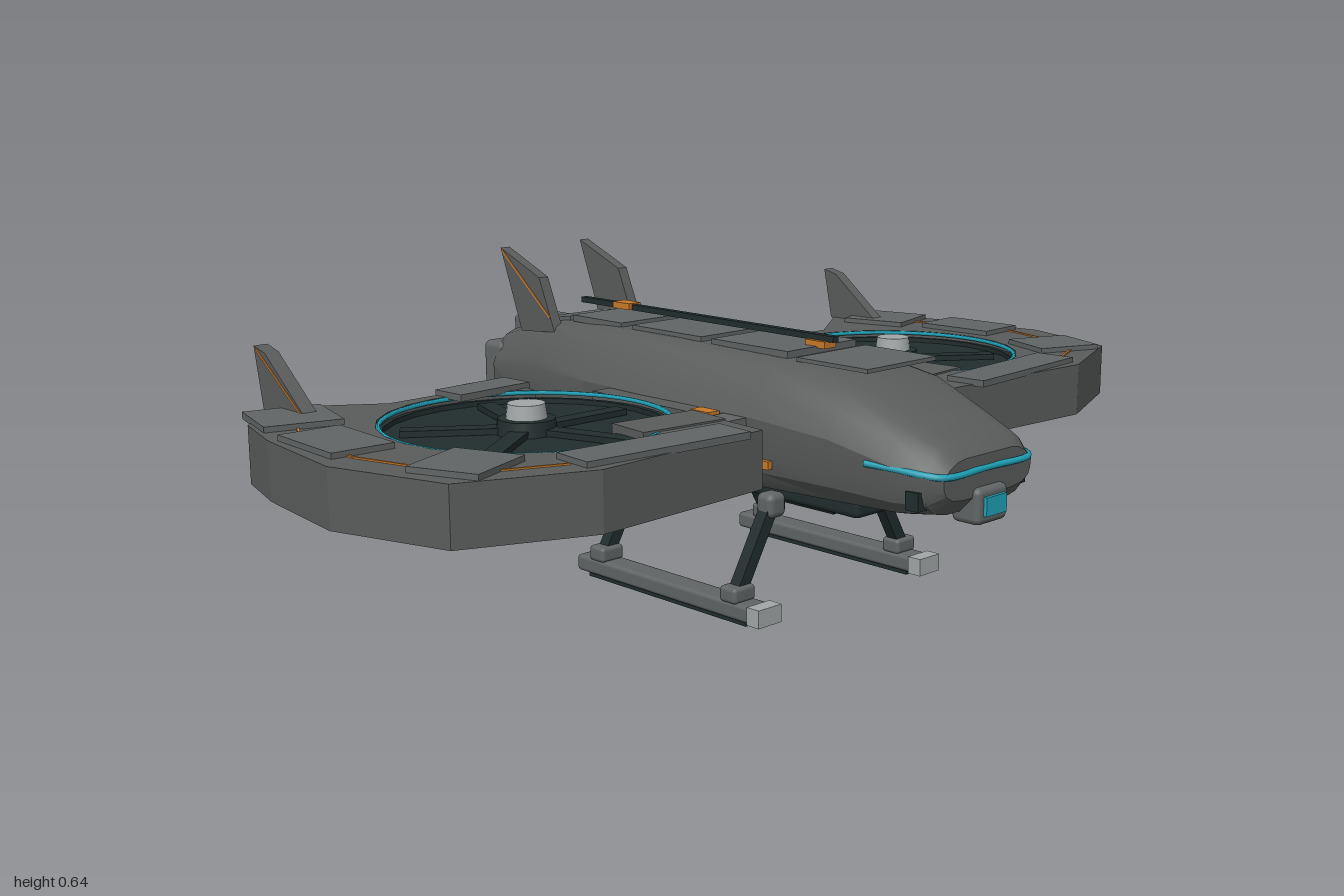
import * as THREE from 'three';
import { toCreasedNormals } from 'three/addons/utils/BufferGeometryUtils.js';
import { RoundedBoxGeometry } from 'three/addons/geometries/RoundedBoxGeometry.js';

const paint = (name, color) => Object.assign(new THREE.MeshStandardMaterial({ color }), { name });
const M = {
  hull: paint('hull grey', 0x5a5c5c),
  panel: paint('panel grey', 0x616565),
  dark: paint('dark slate', 0x212d2d),
  black: paint('vent black', 0x151a1b),
  light: paint('light metal', 0xa2a7a7),
  orange: paint('orange', 0xc87a2a),
  cyan: paint('cyan', 0x1fa3b8),
};

export function createModel() {
  const model = new THREE.Group();
  model.name = 'hoverDrone';

  const add = (name, geo, mat, parent = model) => {
    const mesh = new THREE.Mesh(geo, mat);
    mesh.name = name;
    parent.add(mesh);
    return mesh;
  };
  const box = (name, mat, [w, h, d], [x, y, z], ry = 0, parent = model) => {
    const m = add(name, new THREE.BoxGeometry(w, h, d), mat, parent);
    m.position.set(x, y, z);
    m.rotation.y = ry;
  };
  const rounded = (name, mat, [w, h, d], [x, y, z], r = 0.012, parent = model) => {
    const m = add(name, new RoundedBoxGeometry(w, h, d, 2, r), mat, parent);
    m.position.set(x, y, z);
  };
  // Box bar running between two points
  const bar = (name, mat, a, b, w, h, parent = model) => {
    const p = new THREE.Vector3(...a), q = new THREE.Vector3(...b);
    const m = add(name, new THREE.BoxGeometry(w, h, p.distanceTo(q)), mat, parent);
    m.position.copy(p).lerp(q, 0.5);
    m.lookAt(q);
  };
  // Upright plate drawn as [z, y] corners, centred on x
  const plate = (name, mat, pts, x, thick, parent) => {
    const shape = new THREE.Shape(pts.map(([z, y]) => new THREE.Vector2(-z, y)));
    const geo = new THREE.ExtrudeGeometry(shape, { depth: thick, bevelEnabled: false });
    geo.translate(0, 0, -thick / 2).rotateY(Math.PI / 2);
    add(name, geo, mat, parent).position.x = x;
  };

  // Fuselage: loft of sections [z, half width, bottom, top]
  const sections = [
    [0.678, 0.13, 0.285, 0.362], [0.65, 0.152, 0.255, 0.387], [0.58, 0.168, 0.245, 0.415],
    [0.45, 0.186, 0.24, 0.467], [0.27, 0.202, 0.235, 0.495], [-0.05, 0.207, 0.235, 0.5],
    [-0.23, 0.2, 0.236, 0.5], [-0.42, 0.168, 0.241, 0.493], [-0.55, 0.142, 0.248, 0.47],
    [-0.63, 0.13, 0.26, 0.445],
  ];
  const half = [[0.55, 0], [0.8, 0.06], [0.94, 0.2], [0.985, 0.36], [1, 0.61], [0.95, 0.69], [0.84, 0.84], [0.7, 0.95], [0.52, 1]];
  const ring = [...half, ...half.map(([u, v]) => [-u, v]).reverse()];
  const n = ring.length, pos = [], idx = [];
  for (const [z, w, yb, yt] of sections) for (const [u, v] of ring) pos.push(u * w, yb + v * (yt - yb), z);
  for (let i = 0; i < sections.length - 1; i++) {
    for (let j = 0; j < n; j++) {
      const a = i * n + j, b = i * n + (j + 1) % n;
      idx.push(a, a + n, b, b, a + n, b + n);
    }
  }
  const last = (sections.length - 1) * n;
  for (let j = 1; j < n - 1; j++) idx.push(0, j, j + 1, last, last + j + 1, last + j);
  const hullGeo = new THREE.BufferGeometry();
  hullGeo.setAttribute('position', new THREE.Float32BufferAttribute(pos, 3));
  hullGeo.setIndex(idx);
  add('fuselage', toCreasedNormals(hullGeo, 0.45), M.hull);

  // Dorsal panels, spine rod and its clamps
  box('frontDeckPanel', M.panel, [0.2, 0.008, 0.18], [0, 0.497, 0.38]);
  for (const z of [0.16, -0.08, -0.3]) box('deckPanel', M.panel, [0.2, 0.014, z === -0.3 ? 0.16 : 0.21], [0, 0.502, z]);
  bar('rearDeckPanel', M.panel, [0, 0.497, -0.4], [0, 0.477, -0.53], 0.18, 0.012);
  box('spineRod', M.dark, [0.016, 0.012, 0.76], [0, 0.525, -0.08]);
  for (const z of [0.26, -0.315]) box('rodClamp', M.orange, [0.034, 0.014, 0.052], [0, z > 0 ? 0.513 : 0.527, z]);

  // Nose: visor strip, sensor and lens
  const visorHalf = [[0.174, 0.346, 0.53], [0.161, 0.343, 0.59], [0.146, 0.338, 0.648], [0.124, 0.335, 0.675]];
  const visorPts = [...visorHalf.map(([x, y, z]) => [-x, y, z]), [0, 0.335, 0.676], ...visorHalf.slice().reverse()];
  const visor = new THREE.CatmullRomCurve3(visorPts.map((p) => new THREE.Vector3(...p)));
  add('visorStrip', new THREE.TubeGeometry(visor, 40, 0.007, 6), M.cyan);
  rounded('noseSensor', M.panel, [0.09, 0.07, 0.065], [0, 0.267, 0.66]);
  box('sensorLens', M.cyan, [0.06, 0.036, 0.009], [0, 0.268, 0.695]);

  // Tail: intake box, exhaust block and grille
  rounded('tailTopBox', M.panel, [0.11, 0.042, 0.08], [0, 0.454, -0.608], 0.008);
  rounded('exhaustBlock', M.panel, [0.24, 0.175, 0.075], [0, 0.333, -0.645], 0.015);
  box('exhaustFrame', M.panel, [0.2, 0.145, 0.014], [0, 0.333, -0.683]);
  box('exhaustVent', M.black, [0.17, 0.118, 0.006], [0, 0.333, -0.69]);
  for (let i = 0; i < 5; i++) box('ventSlat', M.hull, [0.16, 0.006, 0.005], [0, 0.288 + i * 0.0225, -0.693]);
  for (let i = 0; i < 6; i++) box('ventBar', M.hull, [0.005, 0.11, 0.005], [-0.065 + i * 0.026, 0.333, -0.692]);
  box('ventMarker', M.orange, [0.03, 0.012, 0.005], [0, 0.378, -0.695]);
  rounded('tailLowerBox', M.panel, [0.09, 0.035, 0.042], [0, 0.213, -0.675], 0.006);
  box('tailLowerBracket', M.hull, [0.05, 0.04, 0.03], [0, 0.24, -0.662]);

  // Belly tray and plates
  rounded('bellyTray', M.dark, [0.13, 0.045, 0.91], [0, 0.218, -0.035]);
  for (const [z, d] of [[0.25, 0.18], [-0.03, 0.18], [-0.26, 0.14]]) box('bellyPlate', M.black, [0.09, 0.008, d], [0, 0.192, z]);

  for (const s of [1, -1]) {
    const side = new THREE.Group();
    side.name = s > 0 ? 'leftSide' : 'rightSide';
    model.add(side);
    const C = 0.53;

    // C-shaped duct body, open towards the hull
    const outline = [[0.335, -0.295], [0.5, -0.308], [0.63, -0.305], [0.81, -0.432], [0.93, -0.32], [0.97, -0.18],
      [1, 0.06], [0.925, 0.3], [0.685, 0.4], [0.28, 0.375], [0.27, 0.25]];
    const from = 2.35, to = -2.3, steps = 18;
    for (let i = 0; i <= steps; i++) {
      const a = from + ((to - from) * i) / steps;
      outline.push([C + 0.28 * Math.cos(a), 0.28 * Math.sin(a)]);
    }
    const shape = new THREE.Shape(outline.map(([x, z]) => new THREE.Vector2(s * x, z)));
    const duct = new THREE.ExtrudeGeometry(shape, { depth: 0.112, bevelEnabled: false });
    duct.rotateX(Math.PI / 2).translate(0, 0.4, 0);
    add('rotorDuct', duct, M.hull, side);

    // Dark liner, rotor disc, glow ring, hub and five blades
    const liner = [[0.27, 0.293], [0.281, 0.293], [0.281, 0.385], [0.27, 0.385], [0.27, 0.293]];
    const linerGeo = new THREE.LatheGeometry(liner.map((p) => new THREE.Vector2(...p)), 24);
    add('ductLiner', toCreasedNormals(linerGeo, 0.5), M.dark, side).position.x = s * C;
    add('rotorDisc', new THREE.CylinderGeometry(0.275, 0.275, 0.02, 24), M.dark, side).position.set(s * C, 0.365, 0);
    const glow = add('glowRing', new THREE.TorusGeometry(0.274, 0.0045, 6, 48), M.cyan, side);
    glow.rotation.x = Math.PI / 2;
    glow.position.set(s * C, 0.396, 0);
    add('hubCollar', new THREE.CylinderGeometry(0.055, 0.06, 0.035, 16), M.dark, side).position.set(s * C, 0.386, 0);
    add('hub', new THREE.CylinderGeometry(0.036, 0.04, 0.028, 16), M.light, side).position.set(s * C, 0.418, 0);
    for (let i = 0; i < 5; i++) {
      const a = (i * 2 * Math.PI) / 5 + Math.PI;
      box('rotorBlade', M.dark, [0.19, 0.012, 0.036],
        [s * (C + 0.14 * Math.cos(a)), 0.382, 0.14 * Math.sin(a)], -s * a, side);
    }

    // Raised armour panels: x, z, width, depth, turn
    for (const [x, z, w, d, r] of [
      [0.425, -0.275, 0.18, 0.08, -0.06], [0.85, -0.295, 0.15, 0.155, 0.27], [0.9, -0.07, 0.125, 0.19, 0.05],
      [0.835, 0.225, 0.15, 0.14, -0.38], [0.515, 0.345, 0.36, 0.09, 0.08],
    ]) box('ductPanel', M.panel, [w, 0.014, d], [s * x, 0.404, z], s * r, side);
    box('frontArm', M.hull, [0.19, 0.105, 0.1], [s * 0.36, 0.351, 0.21], s * 0.1, side);

    // Orange line around the duct top, running beneath the panels
    const trim = [[0.78, -0.34], [0.86, -0.27], [0.925, -0.14], [0.935, 0.04], [0.9, 0.16], [0.86, 0.27], [0.7, 0.335]];
    for (let i = 1; i < trim.length; i++)
      bar('edgeLine', M.orange, [s * trim[i - 1][0], 0.4, trim[i - 1][1]], [s * trim[i][0], 0.4, trim[i][1]], 0.005, 0.006, side);

    // Duct fin and tail fin with orange stripes
    plate('ductFin', M.hull, [[-0.28, 0.4], [-0.42, 0.51], [-0.46, 0.52], [-0.435, 0.4], [-0.38, 0.37]], s * 0.815, 0.03, side);
    bar('ductFinStripe', M.orange, [s * 0.83, 0.408, -0.3], [s * 0.83, 0.515, -0.452], 0.003, 0.005, side);
    plate('tailFin', M.hull, [[-0.41, 0.47], [-0.46, 0.585], [-0.595, 0.64], [-0.525, 0.46]], s * 0.115, 0.025, side);
    bar('tailFinStripe', M.orange, [s * 0.1275, 0.5, -0.425], [s * 0.1275, 0.635, -0.59], 0.003, 0.005, side);

    // Duct mounts along the hull
    box('ductMount', M.hull, [0.07, 0.1, 0.28], [s * 0.215, 0.345, 0], 0, side);
    box('mountArm', M.panel, [0.09, 0.095, 0.06], [s * 0.235, 0.345, 0.225], 0, side);
    box('mountJoint', M.dark, [0.07, 0.05, 0.04], [s * 0.235, 0.345, 0.275], 0, side);
    box('mountLatch', M.orange, [0.03, 0.03, 0.05], [s * 0.225, 0.383, 0.165], 0, side);
    box('runningLight', M.orange, [0.012, 0.016, 0.03], [s * 0.198, 0.308, 0.3], 0, side);
    box('cheekSensor', M.dark, [0.03, 0.035, 0.03], [s * 0.145, 0.29, 0.63], 0, side);

    // Tail side pod with a lit rear face
    rounded('tailPod', M.panel, [0.06, 0.07, 0.07], [s * 0.168, 0.293, -0.635], 0.008, side);
    box('tailPodLamp', M.cyan, [0.034, 0.036, 0.006], [s * 0.168, 0.293, -0.671], 0, side);
    box('tailPodArm', M.hull, [0.06, 0.03, 0.03], [s * 0.13, 0.3, -0.63], 0, side);

    // Landing skid on two struts
    rounded('skid', M.panel, [0.056, 0.034, 0.51], [s * 0.238, 0.027, 0.075], 0.008, side);
    box('skidPad', M.dark, [0.038, 0.01, 0.46], [s * 0.238, 0.006, 0.08], 0, side);
    box('skidTip', M.light, [0.062, 0.036, 0.032], [s * 0.238, 0.028, 0.34], 0, side);
    for (const z of [0.27, -0.115]) {
      bar('strut', M.dark, [s * 0.148, 0.22, z], [s * 0.242, 0.055, z], 0.026, 0.026, side);
      rounded('strutFoot', M.panel, [0.058, 0.032, 0.045], [s * 0.24, 0.057, z], 0.008, side);
      rounded('strutMount', M.panel, [0.047, 0.05, 0.045], [s * 0.148, 0.215, z], 0.014, side);
    }
  }
  return model;
}
